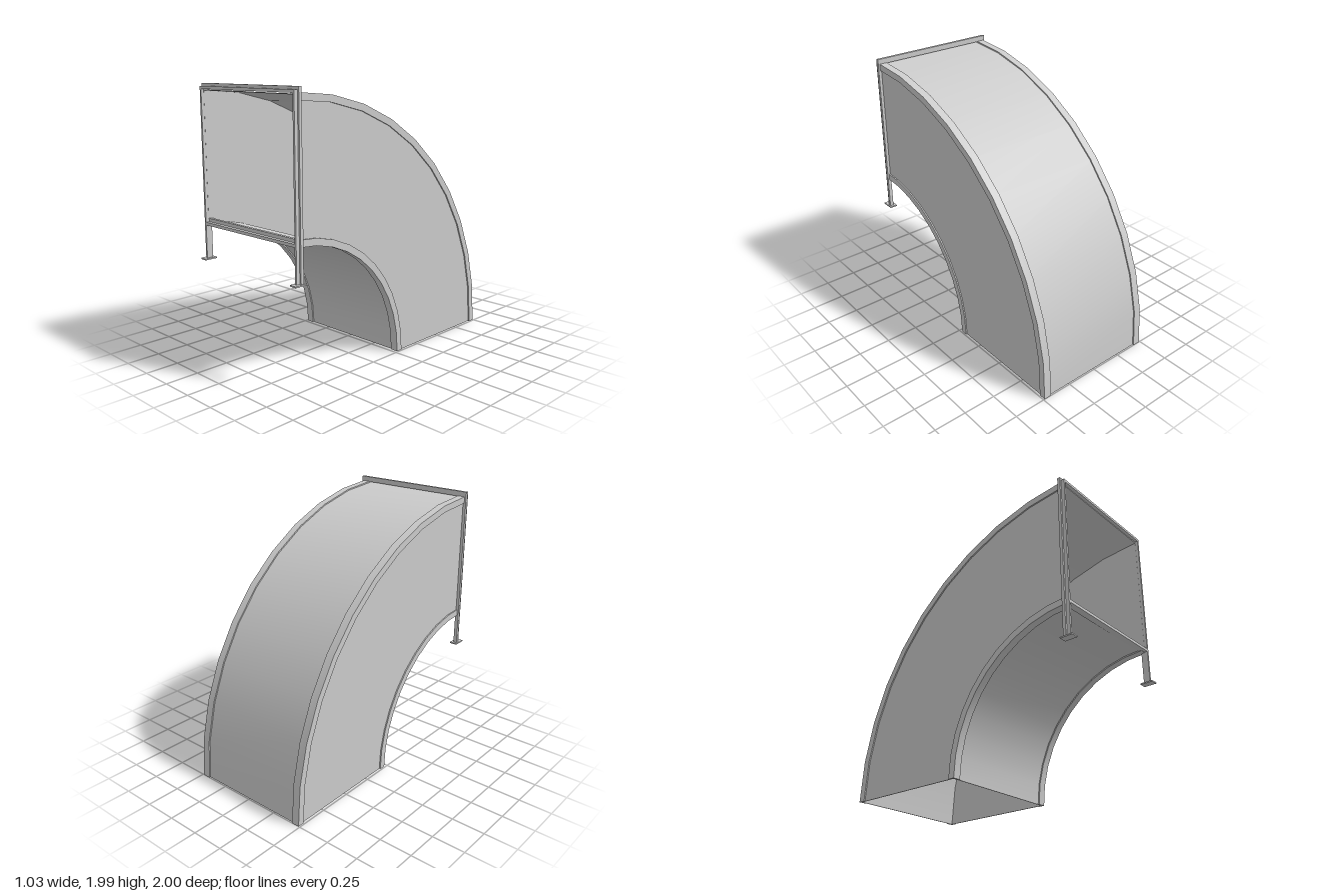
import * as THREE from 'three';
import { toCreasedNormals } from 'three/addons/utils/BufferGeometryUtils.js';

const material = new THREE.MeshStandardMaterial({ color: 0xcccccc });
const CENTRE_Z = 0.95; // the bend turns about this line at y = 0
const STEPS = 10;

// Quarter-ring band between two radii, spanning x0..x1
function bend(name, r0, r1, x0, x1) {
  const points = [];
  const at = (r, i) => {
    const a = (i / STEPS) * Math.PI / 2;
    return new THREE.Vector2(r * Math.cos(a) - CENTRE_Z, r * Math.sin(a));
  };
  for (let i = 0; i <= STEPS; i++) points.push(at(r1, i));
  for (let i = STEPS; i >= 0; i--) points.push(at(r0, i));
  const geometry = new THREE.ExtrudeGeometry(new THREE.Shape(points), { depth: x1 - x0, bevelEnabled: false });
  geometry.rotateY(Math.PI / 2).translate(x0, 0, 0);
  const mesh = new THREE.Mesh(toCreasedNormals(geometry, 0.5), material);
  mesh.name = name;
  return mesh;
}

// Box given by its lower and upper limits
function bar(name, x0, x1, y0, y1, z0, z1) {
  const mesh = new THREE.Mesh(new THREE.BoxGeometry(x1 - x0, y1 - y0, z1 - z0), material);
  mesh.position.set((x0 + x1) / 2, (y0 + y1) / 2, (z0 + z1) / 2);
  mesh.name = name;
  return mesh;
}

export function createModel() {
  const model = new THREE.Group();
  model.name = 'curvedDuct';

  // Curved sheets; the duct is open at the front and the bottom
  model.add(bend('outerPanel', 1.934, 1.94, -0.48, 0.48));
  model.add(bend('innerPanel', 0.985, 0.991, -0.48, 0.48));

  for (const [side, s] of [['left', 1], ['right', -1]]) {
    const span = (a, b) => (s > 0 ? [a, b] : [-b, -a]);

    // Flat side sheet
    model.add(bend(side + 'Wall', 0.985, 1.94, ...span(0.474, 0.48)));

    // Angle irons along the four curved edges
    const angles = new THREE.Group();
    angles.name = side + 'EdgeAngles';
    angles.add(
      bend('outerEdgeSideLeg', 1.9, 1.95, ...span(0.48, 0.49)),
      bend('outerEdgeTopLeg', 1.94, 1.95, ...span(0.43, 0.48)),
      bend('innerEdgeSideLeg', 0.975, 1.025, ...span(0.48, 0.49)),
      bend('innerEdgeUnderLeg', 0.975, 0.985, ...span(0.43, 0.48)),
    );
    model.add(angles);

    // Stepped front post on a foot plate
    const post = new THREE.Group();
    post.name = side + 'Post';
    post.add(
      bar('rearPostBar', ...span(0.475, 0.503), 0.735, 1.985, 0.922, 0.945),
      bar('frontPostBar', ...span(0.475, 0.49), 0.735, 1.965, 0.945, 0.972),
      bar('footPlate', ...span(0.455, 0.513), 0.725, 0.735, 0.903, 1.0),
    );
    model.add(post);
  }

  // Top rail and cross rail between the posts
  model.add(
    bar('rearTopRail', -0.475, 0.475, 1.945, 1.985, 0.922, 0.945),
    bar('frontTopRail', -0.475, 0.475, 1.945, 1.965, 0.945, 0.972),
    bar('rearCrossRail', -0.475, 0.475, 0.978, 1.025, 0.922, 0.945),
    bar('frontCrossRail', -0.475, 0.475, 0.978, 1.0, 0.945, 0.972),
  );
  return model;
}
